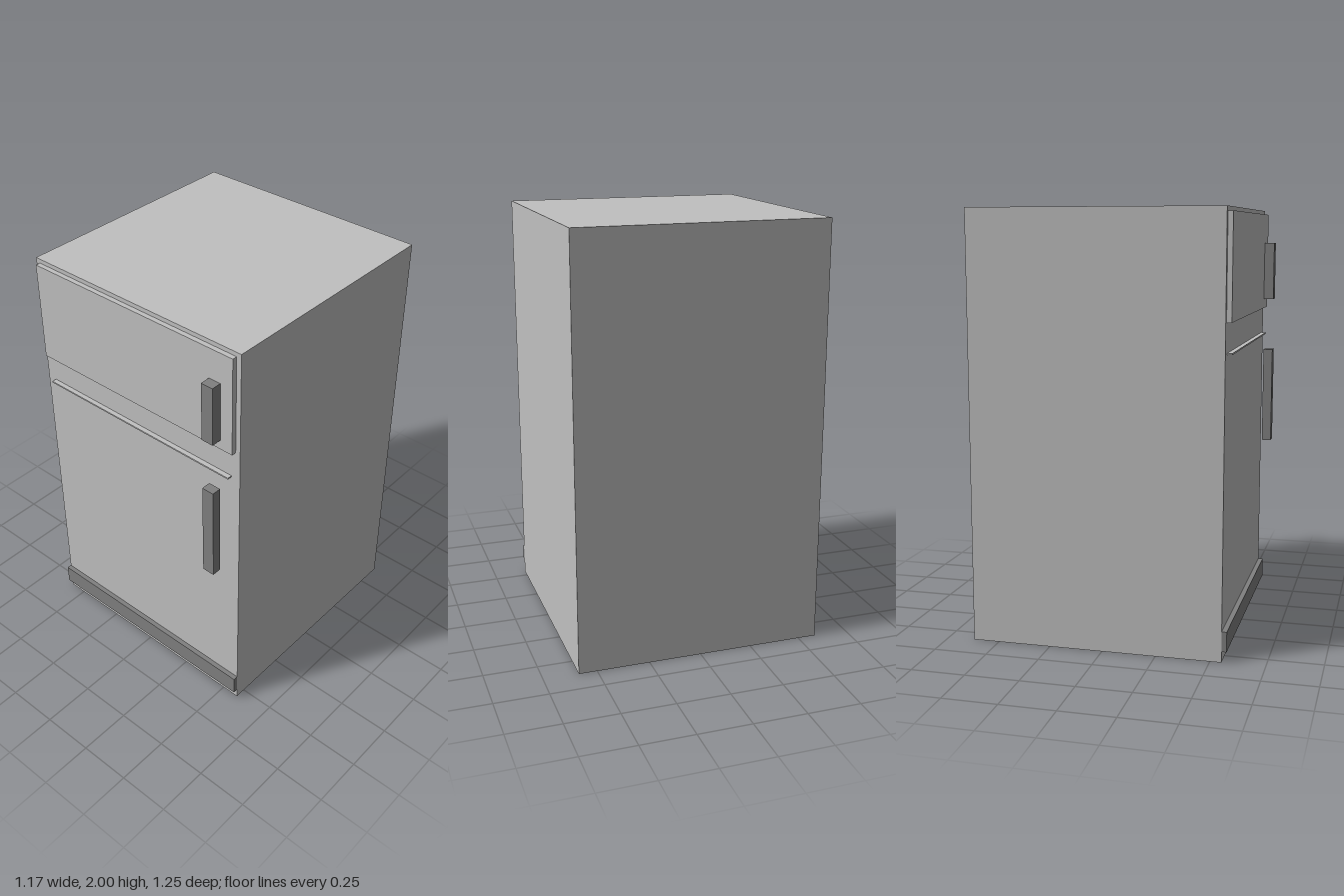
import * as THREE from 'three';

export function createModel() {
  const fridge = new THREE.Group();
  fridge.name = 'refrigerator';

  const silver = new THREE.MeshStandardMaterial({ color: 0xc0c0c0 });
  silver.name = 'silver';
  const darkGrey = new THREE.MeshStandardMaterial({ color: 0x808080 });
  darkGrey.name = 'dark grey';

  // Box given by its extents along each axis
  function box(name, material, [x0, x1], [y0, y1], [z0, z1]) {
    const mesh = new THREE.Mesh(new THREE.BoxGeometry(x1 - x0, y1 - y0, z1 - z0), material);
    mesh.position.set((x0 + x1) / 2, (y0 + y1) / 2, (z0 + z1) / 2);
    mesh.name = name;
    fridge.add(mesh);
  }

  const front = 0.552; // front face of the cabinet
  const raised = 0.575; // front of the parts standing proud of it
  const handleX = [0.439, 0.499];
  const handleZ = [0.578, 0.623];

  // Cabinet
  box('cabinet', silver, [-0.586, 0.586], [0, 2], [-0.623, front]);

  // Freezer door panel and the thin ledge below it
  box('freezerDoor', silver, [-0.565, 0.562], [1.51, 1.98], [front, raised]);
  box('doorLedge', silver, [-0.54, 0.54], [1.37, 1.377], [front, raised]);

  // Kick plate across the bottom
  box('kickPlate', darkGrey, [-0.586, 0.586], [0.05, 0.143], [front, raised]);

  // Handles
  box('freezerHandle', darkGrey, handleX, [1.556, 1.838], [raised, handleZ[1]]);
  box('fridgeHandle', darkGrey, handleX, [0.826, 1.298], handleZ);

  return fridge;
}
